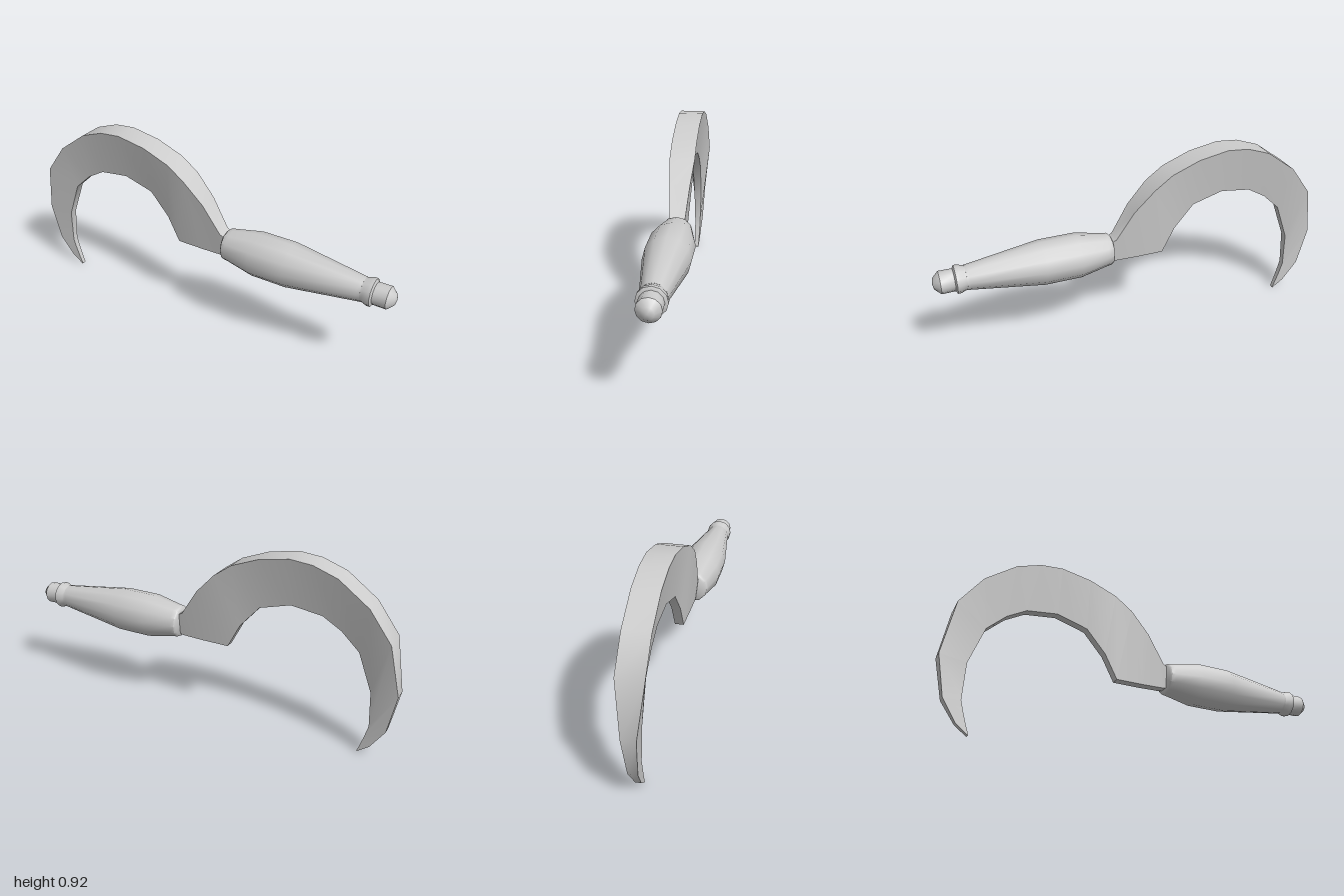
import * as THREE from 'three';
import { toCreasedNormals } from 'three/addons/utils/BufferGeometryUtils.js';

// Blade stations from handle to tip: outer x, y, half thickness; inner x, y, half thickness
const STATIONS = [
  [0.14, 0.515, 0.034, 0.14, 0.41, 0.022],
  [0.11, 0.53, 0.038, 0.11, 0.403, 0.022],
  [0.02, 0.67, 0.051, 0.0, 0.4, 0.022],
  [-0.08, 0.775, 0.063, -0.14, 0.4, 0.022],
  [-0.17, 0.84, 0.063, -0.205, 0.525, 0.022],
  [-0.31, 0.895, 0.063, -0.305, 0.64, 0.022],
  [-0.46, 0.922, 0.063, -0.46, 0.685, 0.022],
  [-0.57, 0.912, 0.063, -0.615, 0.665, 0.022],
  [-0.69, 0.87, 0.063, -0.71, 0.61, 0.022],
  [-0.84, 0.76, 0.063, -0.8, 0.525, 0.022],
  [-0.95, 0.61, 0.063, -0.87, 0.335, 0.02],
  [-1.0, 0.35, 0.034, -0.877, 0.155, 0.015],
  [-0.96, 0.15, 0.023, -0.862, 0.1, 0.014],
  [-0.89, 0.045, 0.014, -0.845, 0.045, 0.012],
  [-0.832, 0.0, 0.011, -0.83, 0.003, 0.011],
];

// Wedge-section blade: thick spine outside, thin edge inside
function bladeGeometry() {
  const pos = [];
  const index = [];
  for (const [ox, oy, ot, ix, iy, it] of STATIONS) {
    pos.push(ox, oy, ot, ox, oy, -ot, ix, iy, -it, ix, iy, it);
  }
  const quad = (a, b, c, d) => index.push(a, b, c, a, c, d);
  const last = (STATIONS.length - 1) * 4;
  for (let s = 0; s < last; s += 4) {
    for (let k = 0; k < 4; k++) {
      const n = (k + 1) % 4;
      quad(s + k, s + n, s + 4 + n, s + 4 + k);
    }
  }
  quad(3, 2, 1, 0);
  quad(last, last + 1, last + 2, last + 3);
  const g = new THREE.BufferGeometry();
  g.setAttribute('position', new THREE.Float32BufferAttribute(pos, 3));
  g.setIndex(index);
  return toCreasedNormals(g, 0.6);
}

// Turned part along x: profile of [radius, x]
function turned(profile) {
  const g = new THREE.LatheGeometry(profile.map(([r, x]) => new THREE.Vector2(r, x)), 12);
  g.rotateZ(-Math.PI / 2);
  g.translate(0, 0.466, 0);
  return toCreasedNormals(g, 0.75);
}

export function createModel() {
  const model = new THREE.Group();
  model.name = 'sickle';
  const metal = new THREE.MeshStandardMaterial({ color: 0xcccccc });
  metal.name = 'light grey';

  const add = (name, geometry) => {
    const mesh = new THREE.Mesh(geometry, metal);
    mesh.name = name;
    model.add(mesh);
  };

  add('blade', bladeGeometry());

  // Swelling grip with a small lip at the blade end
  add('grip', turned([
    [0, 0.13], [0.07, 0.13], [0.08, 0.138], [0.083, 0.16], [0.111, 0.3],
    [0.111, 0.48], [0.062, 0.83], [0.06, 0.845], [0, 0.845],
  ]));

  // Collar bead
  add('collar', turned([
    [0, 0.83], [0.058, 0.83], [0.06, 0.855], [0.068, 0.875], [0.068, 0.893], [0.054, 0.9], [0, 0.9],
  ]));

  // Rounded pommel
  add('pommel', turned([
    [0, 0.89], [0.054, 0.89], [0.055, 0.965], [0.027, 0.994], [0, 1.0],
  ]));

  return model;
}
